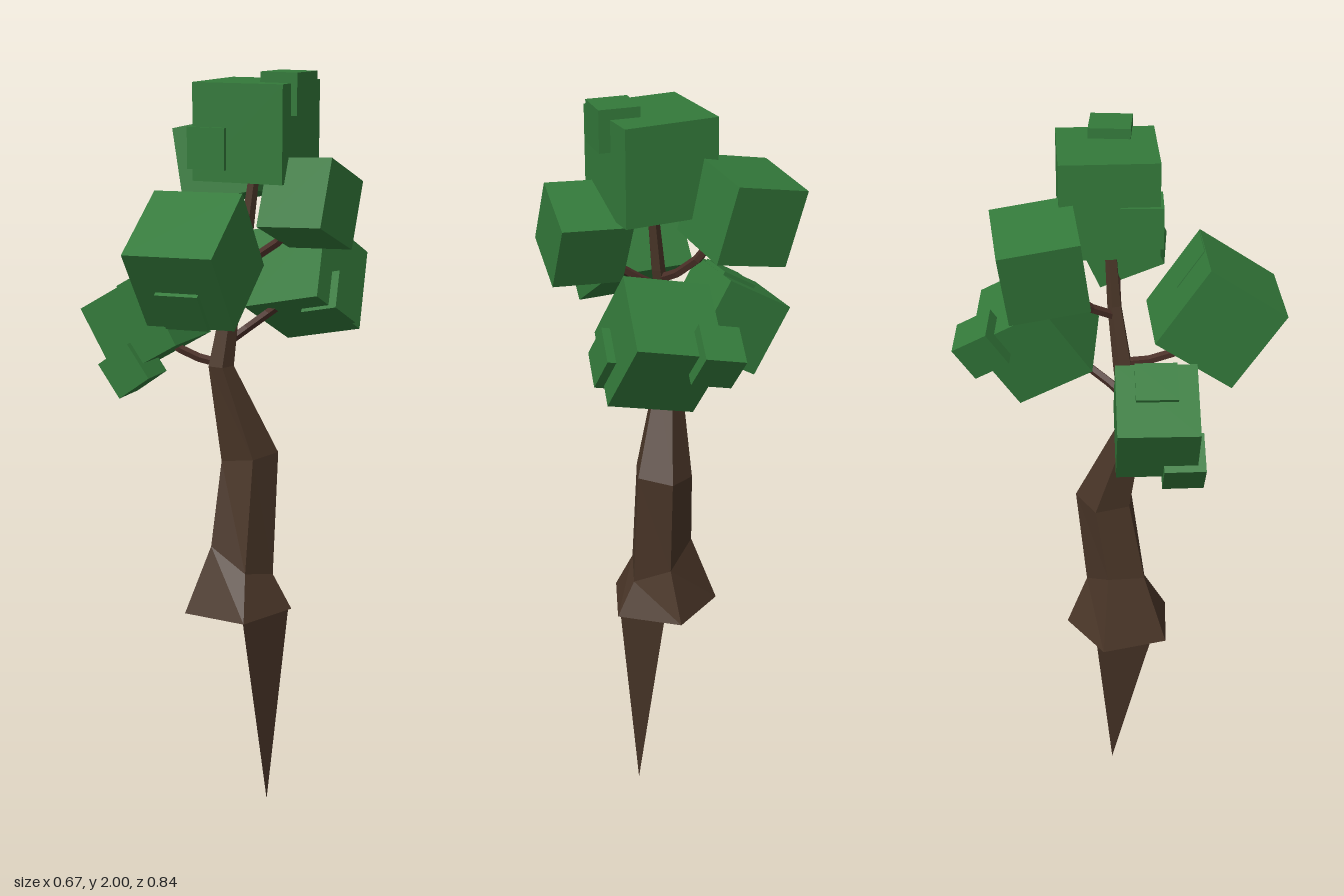
import * as THREE from 'three';
import { ConvexGeometry } from 'three/addons/geometries/ConvexGeometry.js';

const bark = new THREE.MeshStandardMaterial({ color: 0x4a3628, flatShading: true });
const twig = new THREE.MeshStandardMaterial({ color: 0x4a2f27, flatShading: true });
const leaf = new THREE.MeshStandardMaterial({ color: 0x33793a, flatShading: true });

const SIDES = 5;

// Point j of a five-sided ring, tilted along x by slope
function ringPoint([cx, cy, cz, r, slope], j) {
  const a = -0.24 + (j % SIDES) * Math.PI * 2 / SIDES;
  const dx = Math.cos(a) * r;
  return new THREE.Vector3(cx + dx, cy + dx * slope, cz + Math.sin(a) * r);
}

// Closed loft through the rings
function loft(rings) {
  const pts = [];
  const centre = (r) => new THREE.Vector3(r[0], r[1], r[2]);
  const last = rings[rings.length - 1];
  for (let j = 0; j < SIDES; j++) {
    for (let i = 0; i < rings.length - 1; i++) {
      const a = ringPoint(rings[i], j), b = ringPoint(rings[i], j + 1);
      const d = ringPoint(rings[i + 1], j), c = ringPoint(rings[i + 1], j + 1);
      pts.push(a, d, c, a, c, b);
    }
    pts.push(centre(rings[0]), ringPoint(rings[0], j), ringPoint(rings[0], j + 1));
    pts.push(centre(last), ringPoint(last, j + 1), ringPoint(last, j));
  }
  const g = new THREE.BufferGeometry().setFromPoints(pts);
  g.computeVertexNormals();
  return g;
}

function add(parent, name, geometry, material) {
  const m = new THREE.Mesh(geometry, material);
  m.name = name;
  parent.add(m);
  return m;
}

export function createModel() {
  const tree = new THREE.Group();
  tree.name = 'tree';

  // Crooked trunk: centre x, y, z, radius, tilt
  add(tree, 'trunk', loft([
    [0.03, 0.575, 0.01, 0.152, 0],
    [0.04, 0.72, 0.002, 0.088, -0.6],
    [0.047, 0.99, -0.033, 0.08, 0.15],
    [-0.003, 1.245, 0.037, 0.035, 0],
    [0.012, 1.4, 0.012, 0.026, 0],
    [0.045, 1.56, -0.008, 0.019, 0],
    [0.068, 1.76, -0.02, 0.014, 0],
  ]), bark);

  // Tapering root below the flare
  add(tree, 'root', new ConvexGeometry([
    [0.114, 0.005, -0.013], [0.105, 0.576, 0.133], [0.169, 0.576, -0.025], [0.055, 0.576, -0.07],
  ].map((p) => new THREE.Vector3(...p))), bark);

  // Branches reaching into the leaf blocks
  const branches = [
    [[-0.01, 1.25, 0.035], [-0.09, 1.275, 0.06], [-0.19, 1.35, 0.08]],
    [[0.015, 1.41, 0.01], [0.02, 1.425, 0.13], [0.02, 1.53, 0.23]],
    [[0.005, 1.3, 0.03], [0.07, 1.36, -0.06], [0.13, 1.42, -0.2]],
    [[0.04, 1.53, -0.005], [0.0, 1.59, -0.1], [-0.08, 1.73, -0.17]],
    [[0.03, 1.5, 0.0], [0.15, 1.58, 0.0], [0.23, 1.67, 0.01]],
  ];
  for (const path of branches) {
    const curve = new THREE.CatmullRomCurve3(path.map((p) => new THREE.Vector3(...p)));
    add(tree, 'branch', new THREE.TubeGeometry(curve, 4, 0.012, 5), twig);
  }

  // Leaf blocks: size, centre, rotation, and small blocks sunk into them (centre, size)
  const foliage = [
    [0.245, [0.07, 1.852, -0.025], [0, 0, 0],
      [[[0.163, 1.948, -0.012], 0.105, [0, -0.11, 0]], [[-0.01, 1.812, 0.055], 0.105, [0, -0.04, 0]]]],
    [0.2, [-0.093, 1.75, -0.195], [-0.14, 0.05, 0.22], []],
    [0.225, [0.137, 1.445, -0.208], [-0.55, -0.22, 0.12],
      [[[0.052, 1.453, -0.345], 0.105], [[0.225, 1.405, -0.16], 0.105]]],
    [0.18, [0.235, 1.677, 0.015], [-0.42, -0.12, 0], []],
    [0.203, [-0.197, 1.357, 0.082], [0, -0.02, 0.53],
      [[[-0.185, 1.432, 0.081], 0.105], [[-0.204, 1.243, 0.15], 0.105, [0, 0, 0.62]]]],
    [0.237, [0.022, 1.553, 0.246], [0.6, 0.03, 0],
      [[[0.02, 1.465, 0.273], 0.115], [[0.073, 1.636, 0.226], 0.118]]],
  ];
  for (const [size, centre, turn, buds] of foliage) {
    const cluster = new THREE.Group();
    cluster.name = 'leafCluster';
    tree.add(cluster);
    const block = (name, s, p, r) => {
      const m = add(cluster, name, new THREE.BoxGeometry(s, s, s), leaf);
      m.position.set(...p);
      m.rotation.set(...r);
    };
    block('leafBlock', size, centre, turn);
    for (const [p, s, r] of buds) block('smallLeafBlock', s, p, r ?? turn);
  }
  return tree;
}
